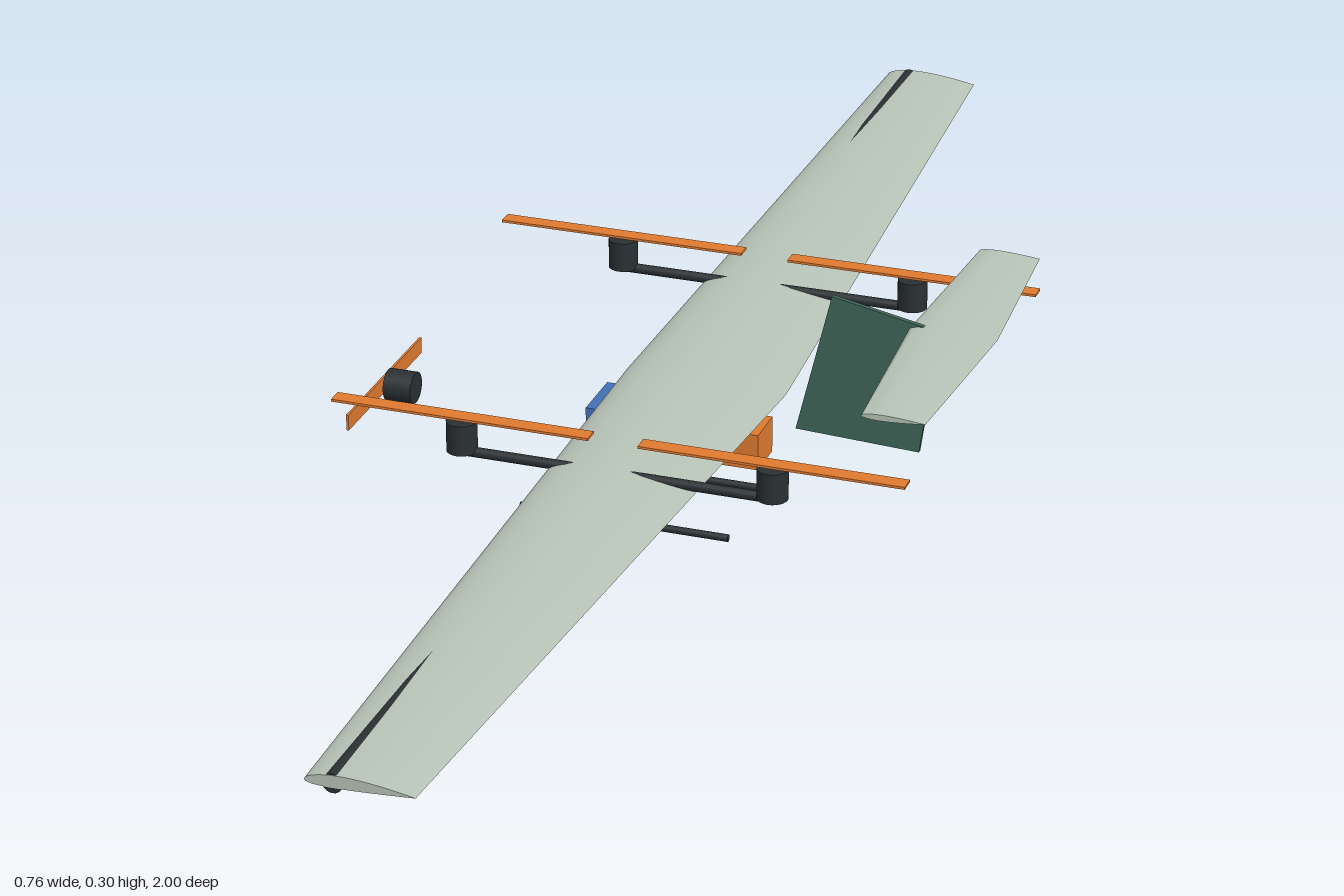
import * as THREE from 'three';
import { toCreasedNormals } from 'three/addons/utils/BufferGeometryUtils.js';

const mat = (color) => new THREE.MeshStandardMaterial({ color });
const skin = mat(0xb8c4b8), green = mat(0x3f6657), dark = mat(0x2a3033);
const orange = mat(0xe07b30), blue = mat(0x4470b8);

// Closed four-digit airfoil outline, leading edge at x = 0, chord 1
function airfoil(thick, camber, n = 16) {
  const side = (sign) => Array.from({ length: n + 1 }, (_, i) => {
    const x = (1 - Math.cos(Math.PI * i / n)) / 2, p = 0.4;
    const t = 5 * thick * (0.2969 * Math.sqrt(x) - 0.126 * x - 0.3516 * x ** 2 + 0.2843 * x ** 3 - 0.1036 * x ** 4);
    const c = x < p ? camber / p ** 2 * (2 * p * x - x * x)
      : camber / (1 - p) ** 2 * (1 - 2 * p + 2 * p * x - x * x);
    return [x, c + sign * t];
  });
  return [...side(1), ...side(-1).reverse().slice(1, -1)];
}

// Loft the outline through stations [z, leading x, trailing x], closing both tips
function loft(outline, y, stations) {
  const pos = [], idx = [], n = outline.length, half = n / 2;
  for (const [z, x0, x1] of stations)
    for (const [u, v] of outline) pos.push(x0 + u * (x1 - x0), y + v * (x1 - x0), z);
  for (let s = 0; s < stations.length - 1; s++)
    for (let i = 0; i < n; i++) {
      const a = s * n + i, b = s * n + (i + 1) % n;
      idx.push(a, a + n, b, b, a + n, b + n);
    }
  const end = (stations.length - 1) * n;
  for (let i = 0; i < half; i++) {
    const q = [i, i + 1, (n - i - 1) % n, (n - i) % n];
    idx.push(q[0], q[1], q[2], q[0], q[2], q[3]);
    idx.push(end + q[0], end + q[2], end + q[1], end + q[0], end + q[3], end + q[2]);
  }
  const g = new THREE.BufferGeometry();
  g.setAttribute('position', new THREE.Float32BufferAttribute(pos, 3));
  g.setIndex(idx);
  return toCreasedNormals(g, 0.6);
}

export function createModel() {
  const root = new THREE.Group();
  const add = (name, geo, material, x = 0, y = 0, z = 0) => {
    const m = new THREE.Mesh(geo, material);
    m.name = name;
    m.position.set(x, y, z);
    root.add(m);
    return m;
  };
  const box = (w, h, d) => new THREE.BoxGeometry(w, h, d);
  const rod = (r, len, sides = 20) => new THREE.CylinderGeometry(r, r, len, sides);

  // Lifting surfaces; the nose points to -x and the span runs along z
  const wing = loft(airfoil(0.12, 0.02), 0.167,
    [[-1, -0.055, 0.065], [0, -0.073, 0.125], [1, -0.055, 0.065]]);
  const tail = loft(airfoil(0.1, 0), 0.275,
    [[-0.237, 0.288, 0.362], [0, 0.273, 0.377], [0.237, 0.288, 0.362]]);
  add('wing', wing, skin);
  add('tailplane', tail, skin);
  add('wingSpar', rod(0.0112, 1.998), dark, -0.025, 0.1665).rotation.x = Math.PI / 2;

  // Swept fin plate
  const finShape = new THREE.Shape([[0.138, 0.127], [0.288, 0.12], [0.31, 0.276], [0.18, 0.302]]
    .map(([x, y]) => new THREE.Vector2(x, y)));
  add('fin', new THREE.ExtrudeGeometry(finShape, { depth: 0.006, bevelEnabled: false }),
    green, 0, 0, -0.003);

  // Battery and payload boxes
  add('batteryBox', box(0.092, 0.06, 0.074), blue, -0.064, 0.1);
  add('payloadBox', box(0.115, 0.045, 0.054), orange, 0.0425, 0.1);

  // Booms with lift motors and propellers, and landing skids
  for (const s of [1, -1]) {
    const side = s > 0 ? 'left' : 'right';
    add(side + 'Boom', rod(0.006, 0.369), dark, 0.012, 0.173, s * 0.27).rotation.z = Math.PI / 2;
    [-0.173, 0.197].forEach((x, i) => {
      const end = i ? 'Rear' : 'Front';
      add(side + end + 'Motor', rod(0.018, 0.037, 24), dark, x, 0.192, s * 0.27);
      add(side + end + 'Propeller', box(0.311, 0.003, 0.02), orange, x, 0.2155, s * 0.27);
    });
    add(side + 'Skid', rod(0.0045, 0.26, 16), dark, -0.052, 0.0045, s * 0.068).rotation.z = Math.PI / 2;
  }

  // Nose motor and propeller
  add('noseMotor', rod(0.0195, 0.035, 24), dark, -0.358, 0.103).rotation.z = Math.PI / 2;
  add('nosePropeller', box(0.003, 0.02, 0.23), orange, -0.381, 0.103);
  return root;
}
